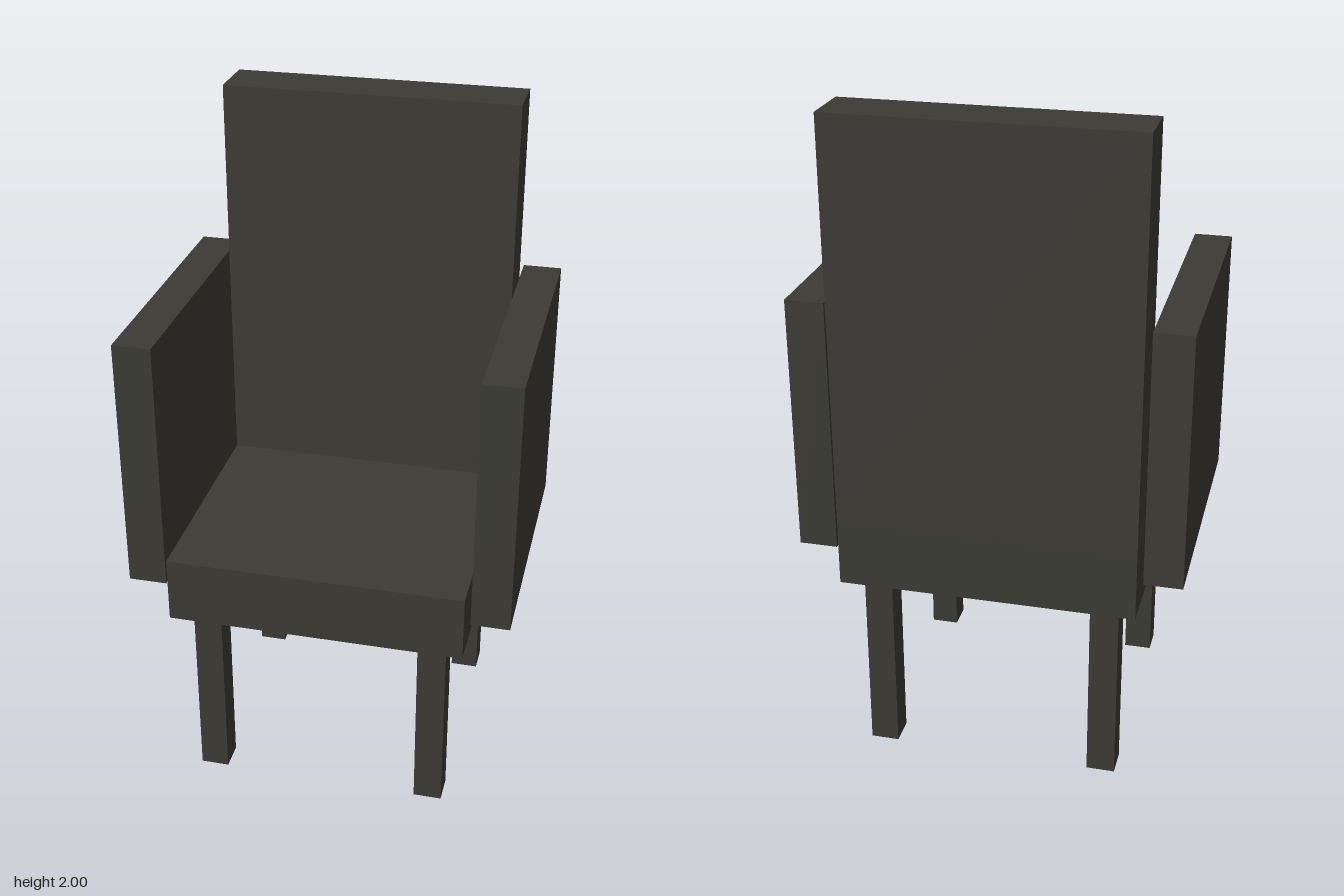
import * as THREE from 'three';

export function createModel() {
  const model = new THREE.Group();
  model.name = 'armchair';

  const charcoal = new THREE.MeshStandardMaterial({ color: 0x3b3a34 });
  charcoal.name = 'charcoal';

  // Box given by its size, its base height and its centre in x and z
  const addBox = (name, [w, h, d], x, base, z) => {
    const mesh = new THREE.Mesh(new THREE.BoxGeometry(w, h, d), charcoal);
    mesh.name = name;
    mesh.position.set(x, base + h / 2, z);
    model.add(mesh);
  };

  // Seat and backrest
  addBox('seat', [0.884, 0.2, 0.884], 0, 0.588, 0);
  addBox('backrest', [0.884, 1.212, 0.168], 0, 0.788, -0.358);

  // Armrests and legs, mirrored
  for (const [side, x] of [['left', 1], ['right', -1]]) {
    addBox(`${side}Armrest`, [0.114, 0.77, 0.828], x * 0.514, 0.69, 0);
    for (const [end, z] of [['Front', 1], ['Back', -1]]) {
      addBox(`${side}${end}Leg`, [0.085, 0.588, 0.085], x * 0.343, 0, z * 0.343);
    }
  }

  return model;
}
